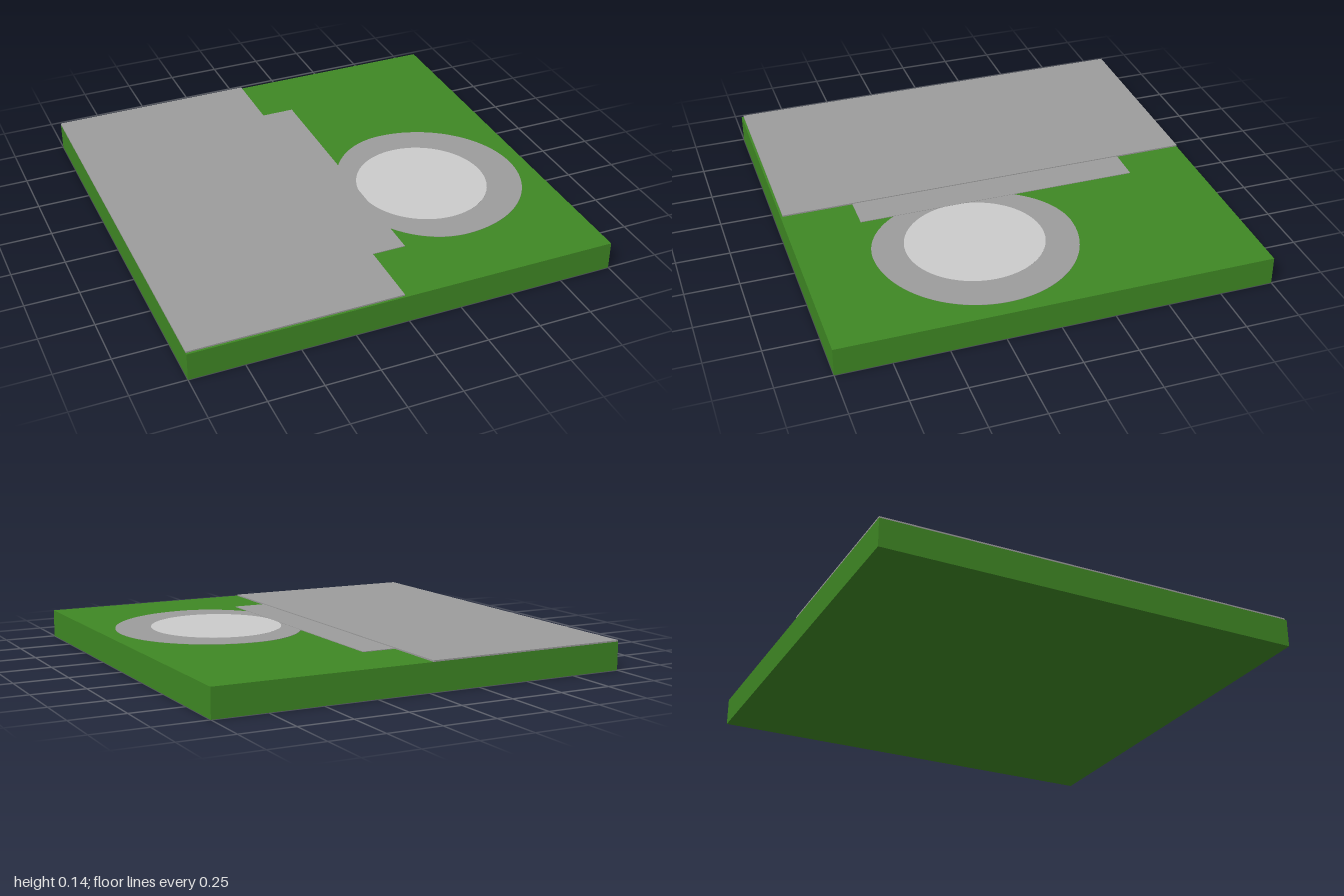
import * as THREE from 'three';

const GREEN = 0x3f8824, GREY = 0x9c9c9c, LIGHT = 0xcccccc;
const BASE_TOP = 0.132;
const CENTRE = { x: 0.445, z: 0.21 };

function add(group, name, geometry, color) {
  const mesh = new THREE.Mesh(geometry, new THREE.MeshStandardMaterial({ color }));
  mesh.name = name;
  group.add(mesh);
  return mesh;
}

// Box given by its extents on each axis
function block(group, name, [x0, x1], [y0, y1], [z0, z1], color) {
  const geometry = new THREE.BoxGeometry(x1 - x0, y1 - y0, z1 - z0);
  geometry.translate((x0 + x1) / 2, (y0 + y1) / 2, (z0 + z1) / 2);
  return add(group, name, geometry, color);
}

// Thin upright-extruded plate resting on the base
function plate(group, name, shape, height, color) {
  const geometry = new THREE.ExtrudeGeometry(shape, { depth: height, bevelEnabled: false, curveSegments: 40 });
  geometry.rotateX(-Math.PI / 2);
  geometry.translate(CENTRE.x, BASE_TOP, CENTRE.z);
  return add(group, name, geometry, color);
}

export function createModel() {
  const group = new THREE.Group();
  group.name = 'courtTile';

  // Ground slab
  block(group, 'base', [-1, 1], [0, BASE_TOP], [-1, 1], GREEN);

  // Raised paving and the lower strip projecting from it
  block(group, 'paving', [-1, -0.02], [BASE_TOP, 0.139], [-1, 0.99], GREY);
  block(group, 'pavingStrip', [-0.02, 0.14], [BASE_TOP, 0.135], [-0.68, 0.66], GREY);

  // Round border, flattened on the side that runs under the strip
  const border = new THREE.Shape();
  border.absellipse(0, 0, 0.48, 0.47, -Math.PI / 2, Math.PI / 2, false);
  border.absellipse(0, 0, 0.39, 0.47, Math.PI / 2, Math.PI * 1.5, false);
  const hole = new THREE.Path();
  hole.absellipse(0, 0, 0.309, 0.32, 0, Math.PI * 2, true);
  border.holes.push(hole);
  plate(group, 'roundBorder', border, 0.0015, GREY);

  // Pale disc inside the border
  const disc = new THREE.Shape();
  disc.absellipse(0, 0, 0.309, 0.32, 0, Math.PI * 2, false);
  plate(group, 'centreDisc', disc, 0.002, LIGHT);

  return group;
}
